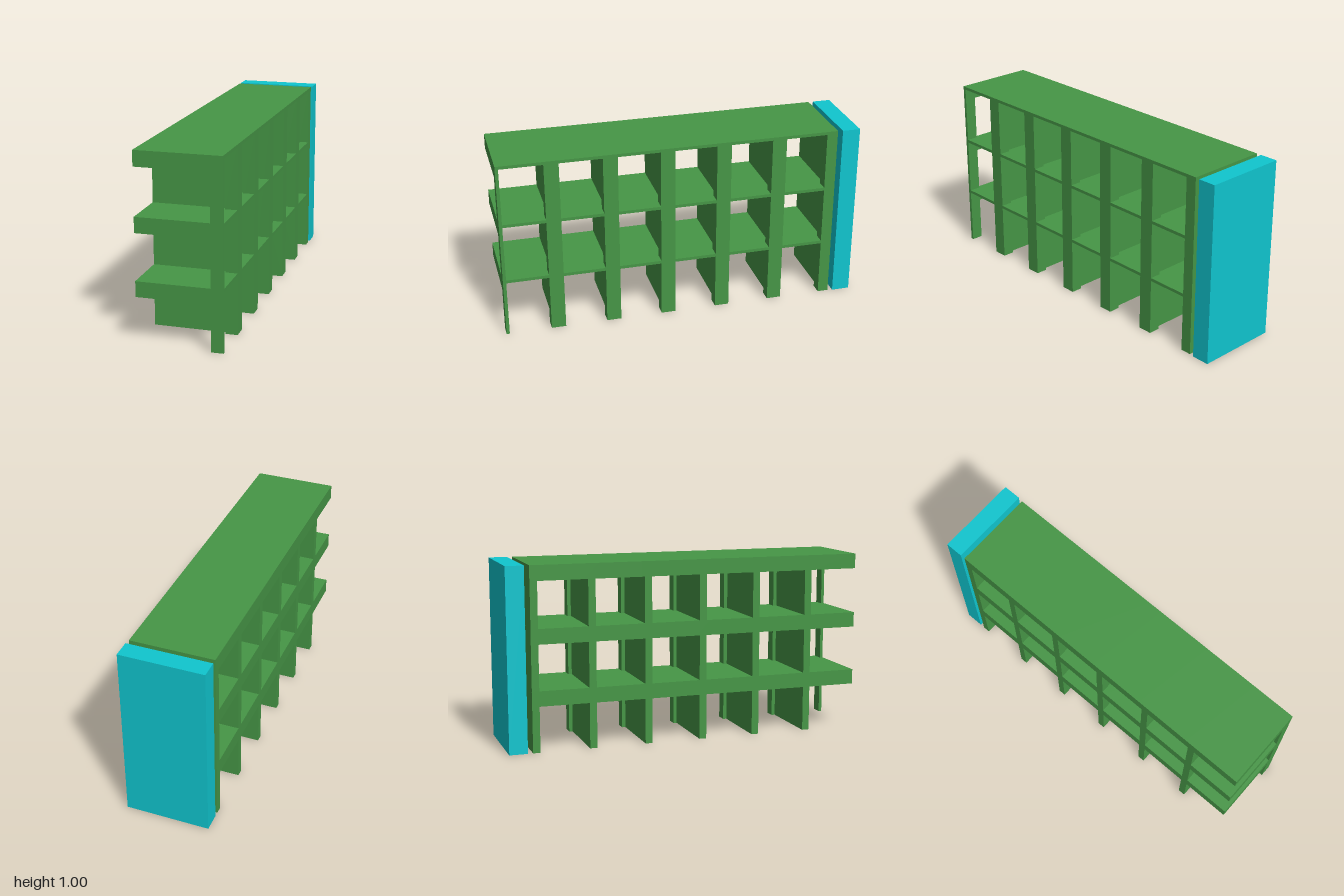
import * as THREE from 'three';

const X0 = -0.23, X1 = 0.225, POST = 0.16;   // depth of the block and inner face of the posts
const Z0 = -0.873, Z1 = 1;                   // ends of the block
const PITCH = 0.3125, FIRST = 1.0225;        // spacing of the frames along z
const FLOORS = [0.333, 0.665, 1];            // top of each floor
const BEAM = 0.083, EDGE = 0.017;            // floor thickness at its thick and thin side

// Closed outline in x/y, extruded from z0 to z1
function prism(points, z0, z1, material, name) {
  const shape = new THREE.Shape(points.map(([x, y]) => new THREE.Vector2(x, y)));
  const geometry = new THREE.ExtrudeGeometry(shape, { depth: z1 - z0, bevelEnabled: false });
  geometry.translate(0, 0, z0);
  const mesh = new THREE.Mesh(geometry, material);
  mesh.name = name;
  return mesh;
}

function box(x0, x1, y0, y1, z0, z1, material, name) {
  const mesh = new THREE.Mesh(new THREE.BoxGeometry(x1 - x0, y1 - y0, z1 - z0), material);
  mesh.position.set((x0 + x1) / 2, (y0 + y1) / 2, (z0 + z1) / 2);
  mesh.name = name;
  return mesh;
}

export function createModel() {
  const green = new THREE.MeshStandardMaterial({ color: 0x469646 });
  green.name = 'green';
  const turquoise = new THREE.MeshStandardMaterial({ color: 0x10c6cf });
  turquoise.name = 'turquoise';

  const model = new THREE.Group();
  model.name = 'shelfBlock';
  const clampZ = (z) => Math.min(Z1, Math.max(Z0, z));

  // Comb outline: a post with one cross beam under each floor
  const comb = [[POST, 0], [X1, 0], [X1, 1], [X0, 1]];
  [...FLOORS].reverse().forEach((top, i, list) => {
    comb.push([X0, top - BEAM], [POST, top - BEAM]);
    if (i < list.length - 1) comb.push([POST, list[i + 1]], [X0, list[i + 1]]);
  });

  for (let i = 0; i < 7; i++) {
    const z = FIRST - i * PITCH;
    model.add(prism(comb, clampZ(z - 0.04), clampZ(z + 0.04), green, 'frame'));

    // Thin partition walls filling the frame openings (the front frame stays open)
    if (i > 0) {
      FLOORS.forEach((top, k) => {
        const bottom = k ? FLOORS[k - 1] : 0;
        model.add(box(X0, POST, bottom, top - BEAM, clampZ(z - 0.02), clampZ(z + 0.02), green, 'partitionWall'));
      });
    }

    // Floors of each bay, tapering towards the posts
    if (i < 6) {
      for (const top of FLOORS) {
        const wedge = [[X0, top - BEAM], [X1, top - EDGE], [X1, top], [X0, top]];
        model.add(prism(wedge, z - PITCH + 0.04, z - 0.04, green, 'taperedFloor'));
      }
    }
  }

  // Separate end block
  model.add(box(-0.23, 0.23, 0, 1, -1, -0.9, turquoise, 'endBlock'));
  return model;
}
